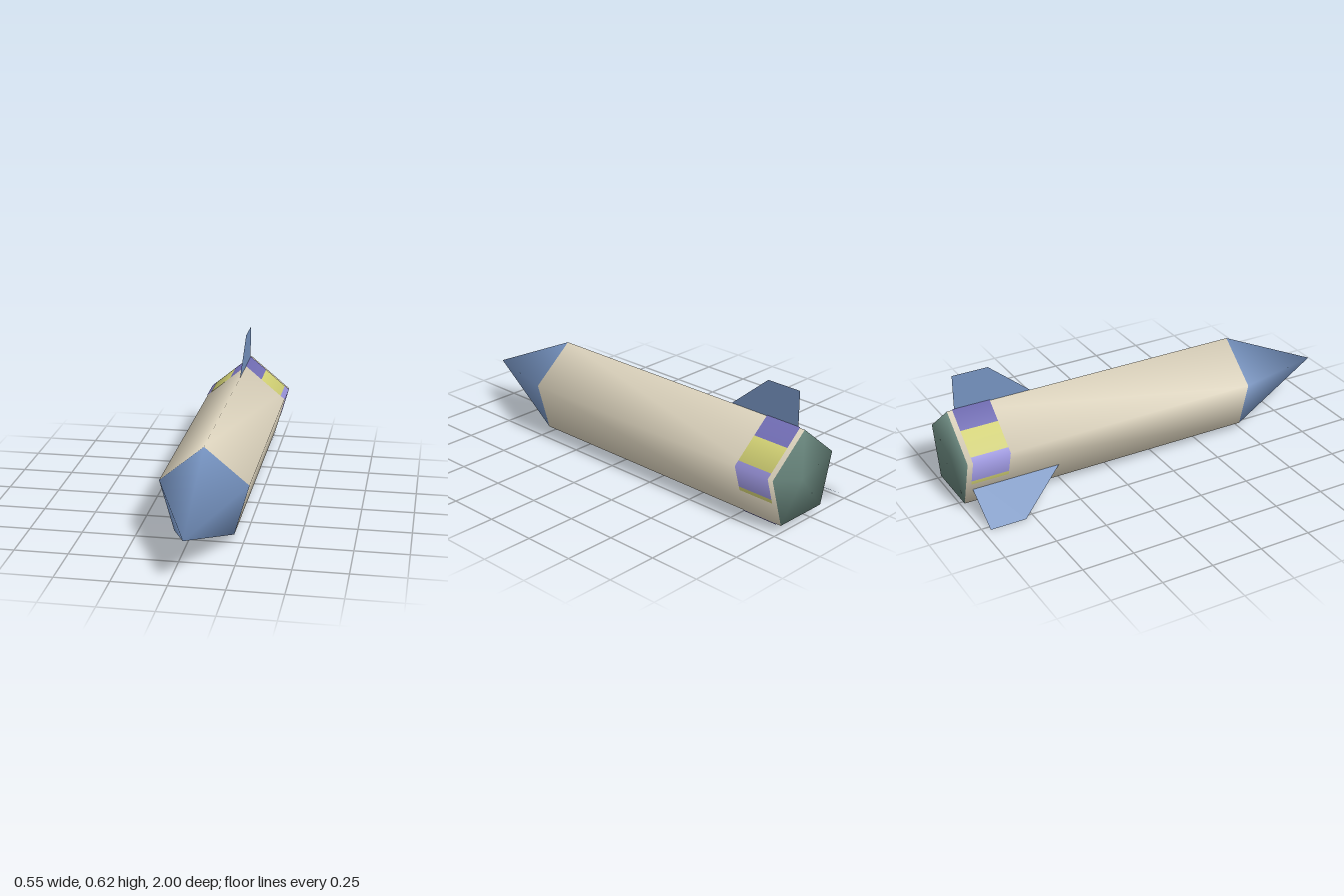
import * as THREE from 'three';

const CX = 0.068, CY = 0.21;
const TAIL = -1, SHOULDER = 0.49, TIP = 1;
// five-sided cross-section, counter-clockwise from the top
const RING = [[0.068, 0.449], [-0.138, 0.277], [-0.07, 0.036], [0.207, 0.036], [0.275, 0.277]];

function material(name, color, side = THREE.FrontSide) {
  const m = new THREE.MeshStandardMaterial({ color, side });
  m.name = name;
  return m;
}

function buffer(positions, index) {
  const g = new THREE.BufferGeometry();
  g.setAttribute('position', new THREE.Float32BufferAttribute(positions, 3));
  g.setIndex(index);
  return g;
}

// point on the cross-section; s counts corners around the ring
function ringPoint(s) {
  const k = Math.floor(s), t = s - k;
  const a = RING[((k % 5) + 5) % 5], b = RING[(((k + 1) % 5) + 5) % 5];
  return [a[0] + (b[0] - a[0]) * t, a[1] + (b[1] - a[1]) * t];
}

// body, nose and tail cap share smooth normals
function hullGeometry() {
  const positions = [];
  for (const z of [TAIL, SHOULDER]) for (const [x, y] of RING) positions.push(x, y, z);
  positions.push(CX, CY, TIP, CX, CY, TAIL);
  const body = [], nose = [], cap = [];
  for (let i = 0; i < 5; i++) {
    const j = (i + 1) % 5;
    body.push(i, j, j + 5, i, j + 5, i + 5);
    nose.push(i + 5, j + 5, 10);
    cap.push(j, i, 11);
  }
  const g = buffer(positions, [...body, ...nose, ...cap]);
  g.addGroup(0, 30, 0);
  g.addGroup(30, 15, 1);
  g.addGroup(45, 15, 2);
  g.computeVertexNormals();
  return g;
}

// painted patch that follows the hull from s0 to s1
function patchGeometry(s0, s1) {
  const stops = [s0];
  for (let k = Math.floor(s0) + 1; k < s1; k++) stops.push(k);
  stops.push(s1);
  const positions = [], normals = [], index = [];
  stops.forEach((s, i) => {
    const [x, y] = ringPoint(s);
    const n = new THREE.Vector2(x - CX, y - CY).normalize();
    for (const z of [-0.975, -0.79]) {
      positions.push(CX + (x - CX) * 1.015, CY + (y - CY) * 1.015, z);
      normals.push(n.x, n.y, 0);
    }
    if (i > 0) {
      const a = 2 * i - 2, b = 2 * i;
      index.push(a, b, b + 1, a, b + 1, a + 1);
    }
  });
  const g = buffer(positions, index);
  g.setAttribute('normal', new THREE.Float32BufferAttribute(normals, 3));
  return g;
}

// flat swept fin standing out along (dx, dy) from the axis
function finGeometry(dx, dy) {
  const outline = [[0.1, -0.42], [0.41, -0.79], [0.41, -0.965], [0.1, -0.965]];
  const shape = new THREE.Shape(outline.map(([r, z]) => new THREE.Vector2(r, z)));
  const basis = new THREE.Matrix4().makeBasis(
    new THREE.Vector3(dx, dy, 0), new THREE.Vector3(0, 0, 1), new THREE.Vector3(dy, -dx, 0));
  return new THREE.ShapeGeometry(shape).applyMatrix4(basis).translate(CX, CY, 0);
}

export function createModel() {
  const model = new THREE.Group();
  model.name = 'rocket';
  const cream = material('cream', 0xdcd3bd);
  const blue = material('blue', 0x7491be);
  const finBlue = blue;
  finBlue.side = THREE.DoubleSide;
  const green = material('greyGreen', 0x68857c);
  const yellow = material('yellow', 0xd0cf73);
  const purple = material('purple', 0x706cb2);
  const lavender = material('lavender', 0x9d97e0);

  const add = (name, geometry, mat) => {
    const mesh = new THREE.Mesh(geometry, mat);
    mesh.name = name;
    model.add(mesh);
  };

  add('hull', hullGeometry(), [cream, blue, green]);
  add('topFin', finGeometry(0, 1), finBlue);
  add('lowerFin', finGeometry(-0.837, -0.512), finBlue);

  // tail band: patches over the top and both sides
  add('topPatch', patchGeometry(-0.4, 0.4), purple);
  for (const [name, s0, s1, mat] of [
    ['shoulderPatch', 0.4, 0.89, yellow],
    ['sidePatch', 0.89, 1.45, lavender],
    ['sideStripe', 1.45, 1.53, yellow],
  ]) {
    add(name + 'Right', patchGeometry(s0, s1), mat);
    add(name + 'Left', patchGeometry(5 - s1, 5 - s0), mat);
  }
  // tail band: patches underneath
  add('bellyPatchInner', patchGeometry(2.22, 2.5), purple);
  add('bellyPatchMiddle', patchGeometry(2.5, 2.78), yellow);
  add('bellyPatchOuter', patchGeometry(2.78, 3.02), purple);
  return model;
}
